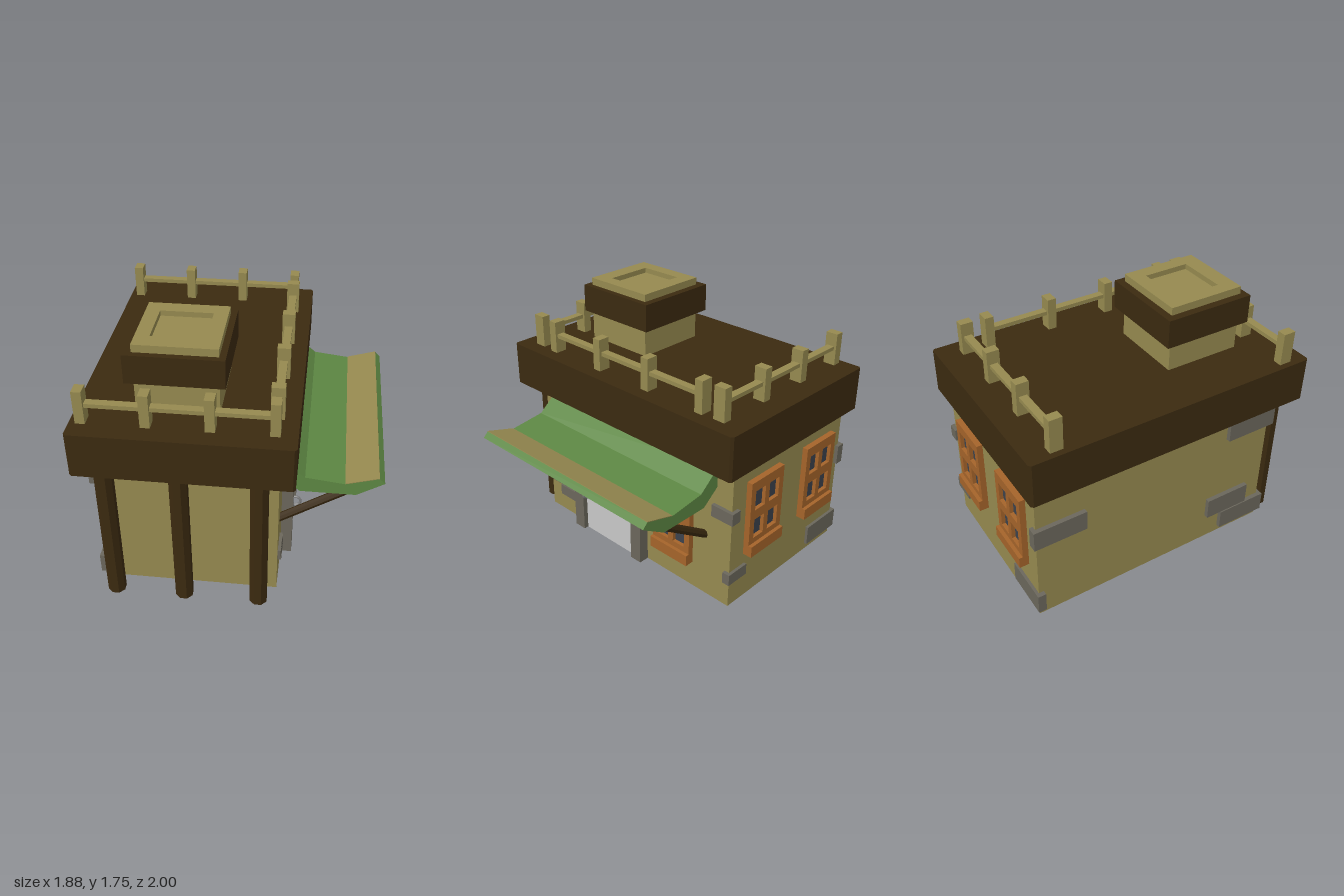
import * as THREE from 'three';

const mat = (name, color) => Object.assign(new THREE.MeshStandardMaterial({ color }), { name });

export function createModel() {
  const model = new THREE.Group();
  model.name = 'house';

  const plaster = mat('tan plaster', 0x968a50);
  const timber = mat('dark timber', 0x3b2a10);
  const cloth = mat('green cloth', 0x5d8743);
  const orange = mat('orange wood', 0xa5642a);
  const glass = mat('dark glass', 0x3c424c);
  const stone = mat('grey stone', 0x6b675c);
  const doorPaint = mat('pale door', 0xc8c8c8);
  const iron = mat('iron', 0x808080);
  const postWood = timber.clone();
  postWood.name = 'post timber';
  postWood.flatShading = true;

  const add = (name, geometry, material, parent = model) => {
    const mesh = new THREE.Mesh(geometry, material);
    mesh.name = name;
    parent.add(mesh);
    return mesh;
  };
  // Box given by its extents on each axis
  const box = (name, material, [x0, x1], [y0, y1], [z0, z1], parent) => {
    const mesh = add(name, new THREE.BoxGeometry(x1 - x0, y1 - y0, z1 - z0), material, parent);
    mesh.position.set((x0 + x1) / 2, (y0 + y1) / 2, (z0 + z1) / 2);
    return mesh;
  };
  const shapeOf = (points) => new THREE.Shape(points.map(([x, y]) => new THREE.Vector2(x, y)));
  const rect = (x0, x1, y0, y1) => shapeOf([[x0, y0], [x1, y0], [x1, y1], [x0, y1]]);
  const extrude = (shape, depth) => new THREE.ExtrudeGeometry(shape, { depth, bevelEnabled: false });

  // Walls
  box('walls', plaster, [-0.85, 0.3], [0, 1.01], [-0.935, 0.81]);

  // Roof slab with clipped vertical corners
  const c = 0.015;
  const roof = add('roof', extrude(shapeOf([
    [-0.94 + c, -1], [0.405 - c, -1], [0.405, -1 + c], [0.405, 0.99 - c],
    [0.405 - c, 0.99], [-0.94 + c, 0.99], [-0.94, 0.99 - c], [-0.94, -1 + c],
  ]), 0.3), timber);
  roof.rotation.x = -Math.PI / 2;
  roof.position.y = 1.01;

  // Octagonal posts under the front overhang
  for (const x of [-0.755, -0.3, 0.19]) {
    const post = add('frontPost', new THREE.CylinderGeometry(0.06, 0.06, 1.01, 8), postWood);
    post.position.set(x, 0.505, 0.92);
    post.rotation.y = Math.PI / 8;
  }

  // Chimney: stack, wide collar and a recessed cap
  box('chimneyStack', plaster, [-0.58, -0.07], [1.31, 1.52], [0.17, 0.69]);
  box('chimneyCollar', timber, [-0.63, -0.03], [1.51, 1.7], [0.12, 0.73]);
  const capShape = rect(-0.58, -0.07, -0.69, -0.17);
  capShape.holes.push(rect(-0.49, -0.16, -0.58, -0.27));
  const cap = add('chimneyCap', extrude(capShape, 0.05), plaster);
  cap.rotation.x = -Math.PI / 2;
  cap.position.y = 1.7;
  box('chimneyCapFloor', plaster, [-0.5, -0.15], [1.7, 1.715], [0.26, 0.59]);

  // Railings, built along local x
  const railing = (positions, start, end) => {
    const group = new THREE.Group();
    group.name = 'railing';
    for (const p of positions) {
      box('railingPost', plaster, [p - 0.03, p + 0.03], [1.31, 1.53], [-0.042, 0.042], group);
    }
    box('rail', plaster, [start, end], [1.415, 1.442], [-0.026, 0.026], group);
    model.add(group);
    return group;
  };
  const spots = [-0.87, -0.485, -0.105, 0.272];
  railing(spots, -0.87, 0.3).position.z = 0.84;
  railing(spots, -0.87, 0.3).position.z = -0.8;
  const sideRail = railing([-0.68, -0.238, 0.2, 0.65], -0.68, 0.65);
  sideRail.rotation.y = Math.PI / 2;
  sideRail.position.x = 0.272;

  // Awning with a tan stripe
  const awning = add('awning', extrude(shapeOf([
    [0.3, 0.86], [0.42, 0.765], [0.77, 0.765], [0.94, 0.87],
    [0.905, 0.905], [0.7, 0.845], [0.45, 0.875], [0.3, 1],
  ]), 1.51), cloth);
  awning.position.z = -0.81;
  const stripe = add('awningStripe', extrude(shapeOf([
    [0.7, 0.845], [0.905, 0.905], [0.904, 0.909], [0.699, 0.849],
  ]), 1.51), plaster);
  stripe.position.z = -0.81;

  // Diagonal awning struts
  for (const z of [0.628, -0.72]) {
    const from = new THREE.Vector3(0.28, 0.455, z);
    const to = new THREE.Vector3(0.79, 0.79, z);
    const along = to.clone().sub(from);
    const strut = add('awningStrut', new THREE.CylinderGeometry(0.028, 0.028, along.length(), 8), postWood);
    strut.position.copy(from).add(to).multiplyScalar(0.5);
    strut.quaternion.setFromUnitVectors(new THREE.Vector3(0, 1, 0), along.normalize());
  }

  // Doorway on the left wall, built facing local +z
  const doorway = new THREE.Group();
  doorway.name = 'doorway';
  doorway.position.set(0.3, 0, 0.1275);
  doorway.rotation.y = Math.PI / 2;
  model.add(doorway);
  const arch = [[0.245, 0], [0.245, 0.62], [0.185, 0.69], [-0.185, 0.69], [-0.245, 0.62], [-0.245, 0]];
  add('doorFrame', extrude(shapeOf([
    [-0.3375, 0], [-0.3375, 0.655], [-0.225, 0.78], [0.225, 0.78], [0.3375, 0.655], [0.3375, 0], ...arch,
  ]), 0.075), stone, doorway);
  add('door', extrude(shapeOf(arch), 0.04), doorPaint, doorway);
  const ring = add('doorHandle', new THREE.TorusGeometry(0.035, 0.009, 8, 20), iron, doorway);
  ring.position.set(-0.1875, 0.342, 0.085);
  ring.rotation.y = Math.PI / 2;
  box('handleMount', iron, [-0.2, -0.175], [0.33, 0.355], [0.04, 0.058], doorway);

  // Four-pane windows with a thick sill, built facing local +z
  const addWindow = (x, y, z, turn) => {
    const group = new THREE.Group();
    group.name = 'window';
    group.position.set(x, y, z);
    group.rotation.y = turn;
    const frame = rect(-0.163, 0.163, 0.04, 0.54);
    for (const px of [-0.07, 0.07]) {
      for (const py of [0.19, 0.4]) {
        frame.holes.push(rect(px - 0.049, px + 0.049, py - 0.07, py + 0.07));
      }
    }
    add('windowFrame', extrude(frame, 0.04), orange, group);
    box('windowGlass', glass, [-0.14, 0.14], [0.1, 0.5], [0.005, 0.014], group);
    box('windowSill', orange, [-0.163, 0.163], [0, 0.08], [0, 0.065], group);
    model.add(group);
  };
  addWindow(0.3, 0.19, -0.4625, Math.PI / 2);
  addWindow(-0.575, 0.35, -0.935, Math.PI);
  addWindow(0.005, 0.35, -0.935, Math.PI);

  // Stones set into the walls and corners: x, y and z extents
  const stones = [
    [[0.28, 0.32], [0.23, 0.31], [0.61, 0.78]],
    [[0.28, 0.32], [0.14, 0.22], [0.53, 0.69]],
    [[0.25, 0.325], [0.65, 0.735], [-0.96, -0.79]],
    [[0.15, 0.325], [0.19, 0.27], [-0.955, -0.9]],
    [[-0.88, -0.55], [0.05, 0.19], [-0.955, -0.9]],
    [[-0.88, -0.82], [0.6, 0.74], [-0.96, -0.6]],
    [[-0.88, -0.82], [0.82, 0.96], [0.47, 0.838]],
    [[-0.88, -0.82], [0.05, 0.19], [0.47, 0.838]],
    [[-0.88, -0.82], [0.2, 0.35], [0.35, 0.68]],
  ];
  for (const extents of stones) box('wallStone', stone, ...extents);

  return model;
}
